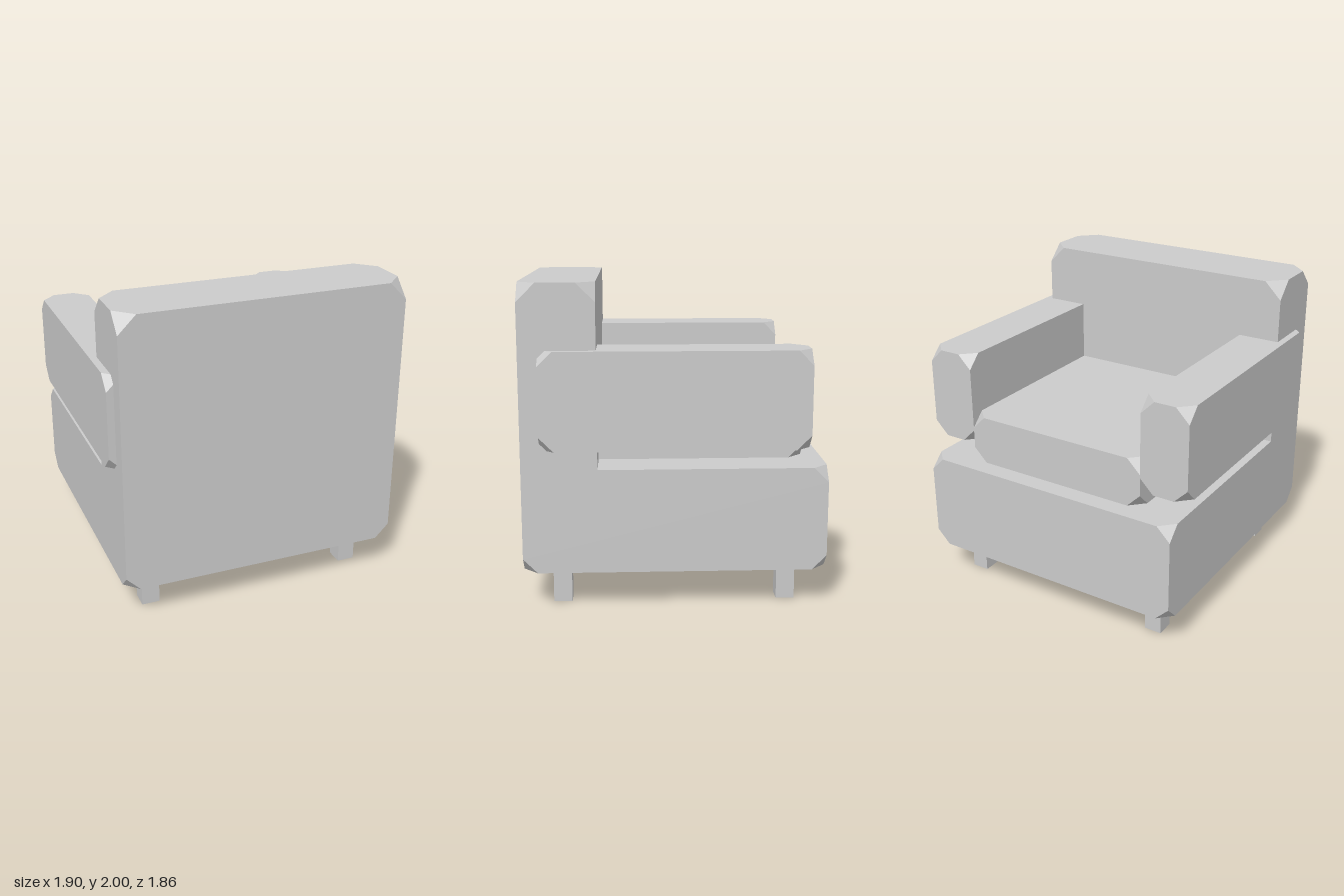
import * as THREE from 'three';

const material = new THREE.MeshStandardMaterial({ color: 0xcccccc, flatShading: true });

// Solid block from a side profile, with its corners sliced off.
// profile: [z, y, cut] points, counter-clockwise as seen from +x.
function cutBlock(name, profile, width, x = 0) {
  const h = width / 2, pos = [], n = profile.length;
  const fan = (pts) => {
    for (let i = 1; i < pts.length - 1; i++) {
      for (const p of [pts[0], pts[i], pts[i + 1]]) pos.push(p.x, p.y, p.z);
    }
  };
  const v = (px, p) => new THREE.Vector3(px, p.y, p.z);
  const corners = profile.map(([z, y, cut]) => ({ p: new THREE.Vector3(0, y, z), cut }));
  corners.forEach((c, i) => {
    const toward = (o) => c.p.clone().add(o.p.clone().sub(c.p).setLength(c.cut));
    c.prev = toward(corners[(i + n - 1) % n]);
    c.next = toward(corners[(i + 1) % n]);
  });

  // Faces running across the width, and the sliced corner triangles
  corners.forEach((a, i) => {
    const b = corners[(i + 1) % n], ha = h - a.cut, hb = h - b.cut;
    const start = a.cut ? [v(h, a.next), v(ha, a.p), v(-ha, a.p), v(-h, a.next)] : [v(h, a.p), v(-h, a.p)];
    const end = b.cut ? [v(-h, b.prev), v(-hb, b.p), v(hb, b.p), v(h, b.prev)] : [v(-h, b.p), v(h, b.p)];
    fan([...start, ...end]);
    if (a.cut) {
      fan([v(h, a.prev), v(ha, a.p), v(h, a.next)]);
      fan([v(-h, a.prev), v(-h, a.next), v(-ha, a.p)]);
    }
  });

  // Flat left and right sides
  const outline = corners.flatMap((c) => (c.cut ? [c.prev, c.next] : [c.p]));
  const flat = outline.map((p) => new THREE.Vector2(-p.z, p.y));
  for (const [i, j, k] of THREE.ShapeUtils.triangulateShape(flat, [])) {
    fan([v(h, outline[i]), v(h, outline[j]), v(h, outline[k])]);
    fan([v(-h, outline[i]), v(-h, outline[k]), v(-h, outline[j])]);
  }

  const geometry = new THREE.BufferGeometry();
  geometry.setAttribute('position', new THREE.Float32BufferAttribute(pos, 3));
  geometry.computeVertexNormals();
  const mesh = new THREE.Mesh(geometry, material);
  mesh.name = name;
  mesh.position.x = x;
  return mesh;
}

const boxProfile = (z0, z1, y0, y1, cut) => [[z1, y0, cut], [z0, y0, cut], [z0, y1, cut], [z1, y1, cut]];

export function createModel() {
  const chair = new THREE.Group();
  chair.name = 'armchair';

  // Base and backrest in one L-shaped body; the backrest is on the +z side
  chair.add(cutBlock('baseAndBackrest', [
    [0.93, 0.24, 0.09], [-0.93, 0.24, 0.09], [-0.93, 0.885, 0.09],
    [0.47, 0.885, 0], [0.47, 2, 0.113], [0.93, 2, 0.113],
  ], 1.81));

  // Seat cushion, running into the backrest
  chair.add(cutBlock('seatCushion', boxProfile(-0.812, 0.812, 0.885, 1.205, 0.09), 1.26));

  // Armrests
  for (const [name, side] of [['leftArmrest', 1], ['rightArmrest', -1]]) {
    chair.add(cutBlock(name, boxProfile(-0.812, 0.815, 1.005, 1.605, 0.09), 0.32, side * 0.79));
  }

  // Legs
  const legGeometry = new THREE.BoxGeometry(0.115, 0.24, 0.115);
  for (const x of [-0.7, 0.7]) {
    for (const z of [-0.7, 0.7]) {
      const leg = new THREE.Mesh(legGeometry, material);
      leg.name = 'leg';
      leg.position.set(x, 0.12, z);
      chair.add(leg);
    }
  }
  return chair;
}
